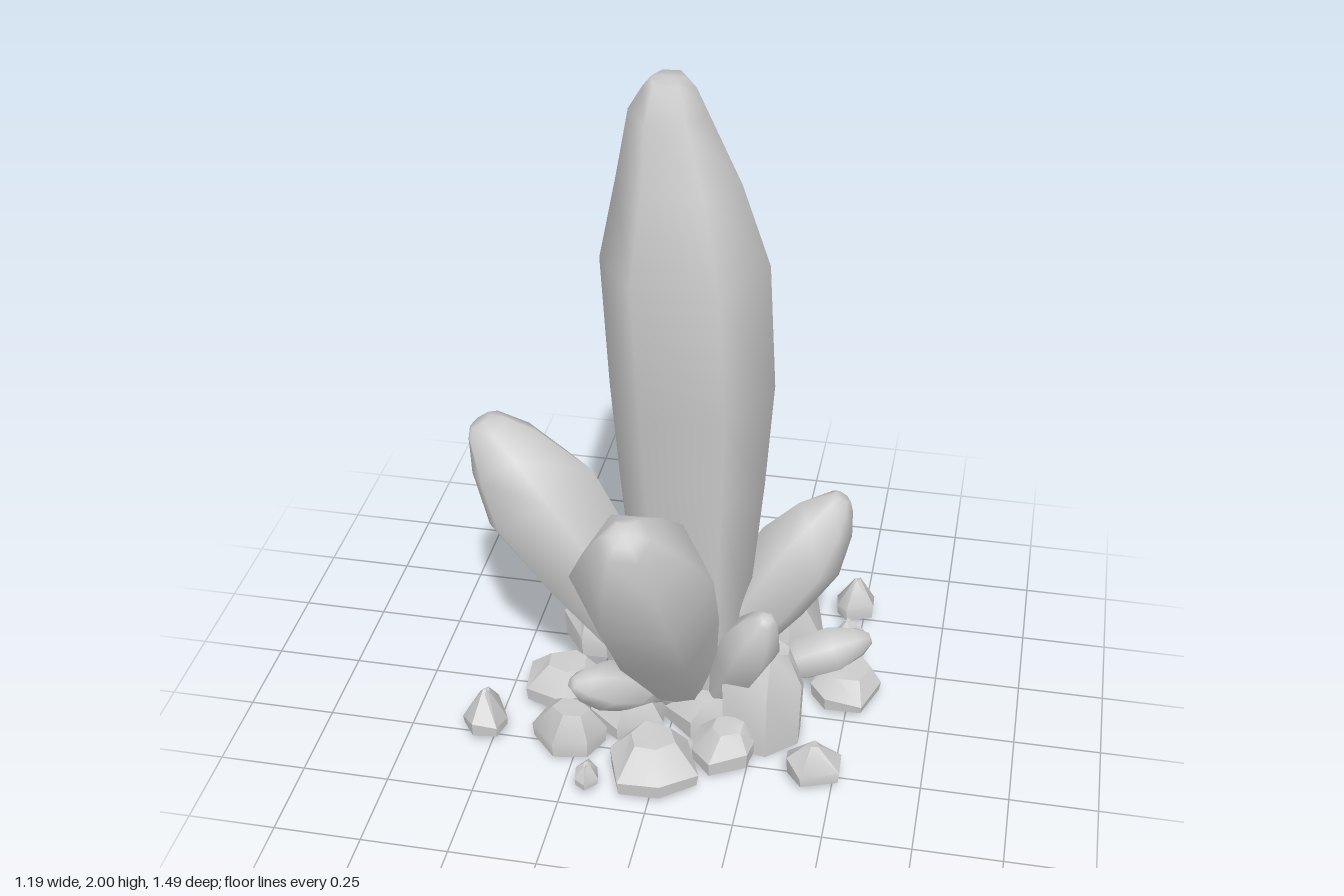
import * as THREE from 'three';
import { toCreasedNormals } from 'three/addons/utils/BufferGeometryUtils.js';

const material = new THREE.MeshStandardMaterial({ color: 0xcccccc });

// Small seeded noise in the range -1..1
let seed = 7;
function noise() {
  seed = (seed * 16807) % 2147483647;
  return (seed / 2147483647) * 2 - 1;
}

// Skins a stack of rings (arrays of Vector3, bottom to top) and closes both ends
function loft(rings, crease) {
  const n = rings[0].length;
  const points = rings.flat();
  const index = [];
  for (let r = 0; r < rings.length - 1; r++) {
    for (let i = 0; i < n; i++) {
      const a = r * n + i, b = r * n + (i + 1) % n;
      index.push(a, b, a + n, b, b + n, a + n);
    }
  }
  [0, rings.length - 1].forEach((r) => {
    const centre = new THREE.Vector3();
    rings[r].forEach((p) => centre.addScaledVector(p, 1 / n));
    const c = points.push(centre) - 1;
    for (let i = 0; i < n; i++) {
      const a = r * n + i, b = r * n + (i + 1) % n;
      if (r) index.push(a, b, c);
      else index.push(b, a, c);
    }
  });
  const geometry = new THREE.BufferGeometry().setFromPoints(points);
  geometry.setIndex(index);
  return toCreasedNormals(geometry, crease);
}

// Six-sided crystal from foot to tip; each profile row is [height, radius, shift x, shift z]
function crystal(name, base, tip, radius, profile) {
  const from = new THREE.Vector3(...base), axis = new THREE.Vector3(...tip).sub(from);
  const length = axis.length();
  const turn = new THREE.Quaternion().setFromUnitVectors(
    new THREE.Vector3(0, 1, 0), axis.clone().normalize());
  const last = profile.length - 1;
  const rings = profile.map(([t, scale, dx = 0, dz = 0], k) => {
    const ring = [];
    for (let i = 0; i < 6; i++) {
      const a = (i / 6) * Math.PI * 2 + 0.07;
      const r = radius * scale * (1 + noise() * 0.03);
      const lift = k > 1 && k < last ? noise() * 0.015 : 0;
      ring.push(new THREE.Vector3(Math.cos(a) * r + dx, length * (t + lift), -Math.sin(a) * r + dz)
        .applyQuaternion(turn).add(from));
    }
    return ring;
  });
  const mesh = new THREE.Mesh(loft(rings, 1.4), material);
  mesh.name = name;
  return mesh;
}

// Faceted stone: upright skirt up to the shoulder, then a lopsided sloping crown
function rock(name, x, z, rx, rz, y0, y1, crown = 0.5, shoulder = 0.42) {
  const sides = 6, h = y1 - y0, phase = noise() * 3;
  const dx = noise() * 0.2 * rx, dz = noise() * 0.2 * rz;
  const spread = Array.from({ length: sides }, () => 1.03 + noise() * 0.1);
  const turns = spread.map((f, i) => phase + ((i + noise() * 0.2) / sides) * Math.PI * 2);
  const rings = [[0, 0.96, 0], [shoulder, 1, 0.14], [0.93, crown, 0.07]].map(([t, s, rough], k) =>
    spread.map((f, i) => new THREE.Vector3(
      x + Math.cos(turns[i]) * rx * s * f + (k === 2 ? dx : 0),
      y0 + h * (t + noise() * rough),
      z - Math.sin(turns[i]) * rz * s * f + (k === 2 ? dz : 0))));
  const mesh = new THREE.Mesh(loft(rings, 0.65), material);
  mesh.name = name;
  return mesh;
}

export function createModel() {
  const model = new THREE.Group();
  model.name = 'crystalCluster';

  // Large central crystal, bowed slightly to its left and back
  model.add(crystal('centralCrystal', [0, 0.04, 0], [0, 2, 0], 0.235, [
    [0, 0.52, 0.035, -0.01], [0.16, 0.7, 0.04, -0.01], [0.39, 0.86, 0.035, -0.02],
    [0.54, 0.96, 0.03, -0.025], [0.745, 0.98, 0.015, 0], [0.87, 0.69, 0, 0],
    [0.95, 0.44, -0.025, -0.01], [0.99, 0.29, -0.025, -0.01], [1, 0.2, -0.025, -0.015],
  ]));

  // Leaning crystals around it
  const leaning = [[0, 0.5], [0.2, 0.64], [0.5, 0.92], [0.73, 1], [0.88, 0.68], [0.97, 0.36], [1, 0.2]];
  [
    ['frontCrystal', [0.015, 0.06, -0.02], [0, 1.1, 0.71], 0.19],
    ['backCrystal', [0.04, 0.05, -0.03], [0.01, 1.25, -0.71], 0.168],
    ['rightCrystal', [0.02, 0.1, 0.04], [-0.56, 0.94, 0.02], 0.18],
    ['leftCrystal', [0.05, 0.06, -0.02], [0.45, 0.69, -0.16], 0.132],
    ['leftFrontCrystal', [0.12, 0.05, 0.05], [0.29, 0.51, 0.21], 0.085],
  ].forEach((c) => model.add(crystal(...c, leaning)));

  // Small crystals lying low among the stones
  const small = [[0, 0.6], [0.35, 0.92], [0.65, 1], [0.88, 0.65], [1, 0.25]];
  [
    ['smallFrontRightCrystal', [-0.04, 0.1, 0.08], [-0.25, 0.26, 0.29], 0.075],
    ['smallBackRightCrystal', [-0.05, 0.12, -0.1], [-0.31, 0.37, -0.2], 0.085],
    ['smallBackLeftCrystal', [0.06, 0.1, -0.12], [0.235, 0.35, -0.44], 0.08],
    ['smallBackCrystal', [-0.06, 0.1, -0.15], [-0.15, 0.28, -0.42], 0.075],
    ['smallLeftCrystal', [0.25, 0.08, -0.1], [0.55, 0.18, -0.18], 0.075],
  ].forEach((c) => model.add(crystal(...c, small)));

  // Stones packed around the foot: x, z, half width, half depth, bottom, top, crown, shoulder
  [
    [0.27, 0.11, 0.12, 0.105, 0, 0.34, 0.5, 0.6],
    [-0.27, -0.24, 0.13, 0.12, 0.02, 0.19],
    [-0.27, 0.25, 0.115, 0.09, 0.02, 0.15],
    [0.28, -0.27, 0.13, 0.12, 0.02, 0.29, 0.12, 0.4],
    [0.49, -0.12, 0.11, 0.12, 0.02, 0.1, 0.6],
    [0, 0.35, 0.14, 0.12, 0.02, 0.15],
    [-0.34, 0.04, 0.12, 0.11, 0.02, 0.13],
    [0.02, -0.34, 0.13, 0.11, 0.02, 0.14],
    [-0.22, -0.49, 0.1, 0.08, 0.02, 0.11],
    [0.17, 0.24, 0.09, 0.09, 0.02, 0.13],
    [-0.13, 0.12, 0.12, 0.11, 0.02, 0.14],
    [-0.12, -0.1, 0.12, 0.12, 0.02, 0.15],
    [0.12, -0.1, 0.13, 0.12, 0.02, 0.16],
    [0.1, 0.08, 0.12, 0.11, 0.02, 0.15],
  ].forEach((r, i) => model.add(rock(`baseStone${i + 1}`, ...r)));

  // Loose chips scattered further out
  [
    [0.47, -0.51, 0.065, 0.065, 0.03, 0.16, 0.15, 0.3],
    [0.47, -0.36, 0.045, 0.035, 0.03, 0.1, 0.3],
    [-0.38, -0.42, 0.045, 0.035, 0.03, 0.1, 0.3],
    [0.17, -0.62, 0.035, 0.04, 0.04, 0.1, 0.3],
    [-0.525, 0.24, 0.065, 0.085, 0.035, 0.15, 0.15, 0.3],
    [-0.18, 0.435, 0.035, 0.045, 0.04, 0.1, 0.3],
    [0.445, 0.27, 0.085, 0.08, 0.03, 0.14, 0.2, 0.35],
  ].forEach((r, i) => model.add(rock(`looseChip${i + 1}`, ...r)));

  return model;
}
